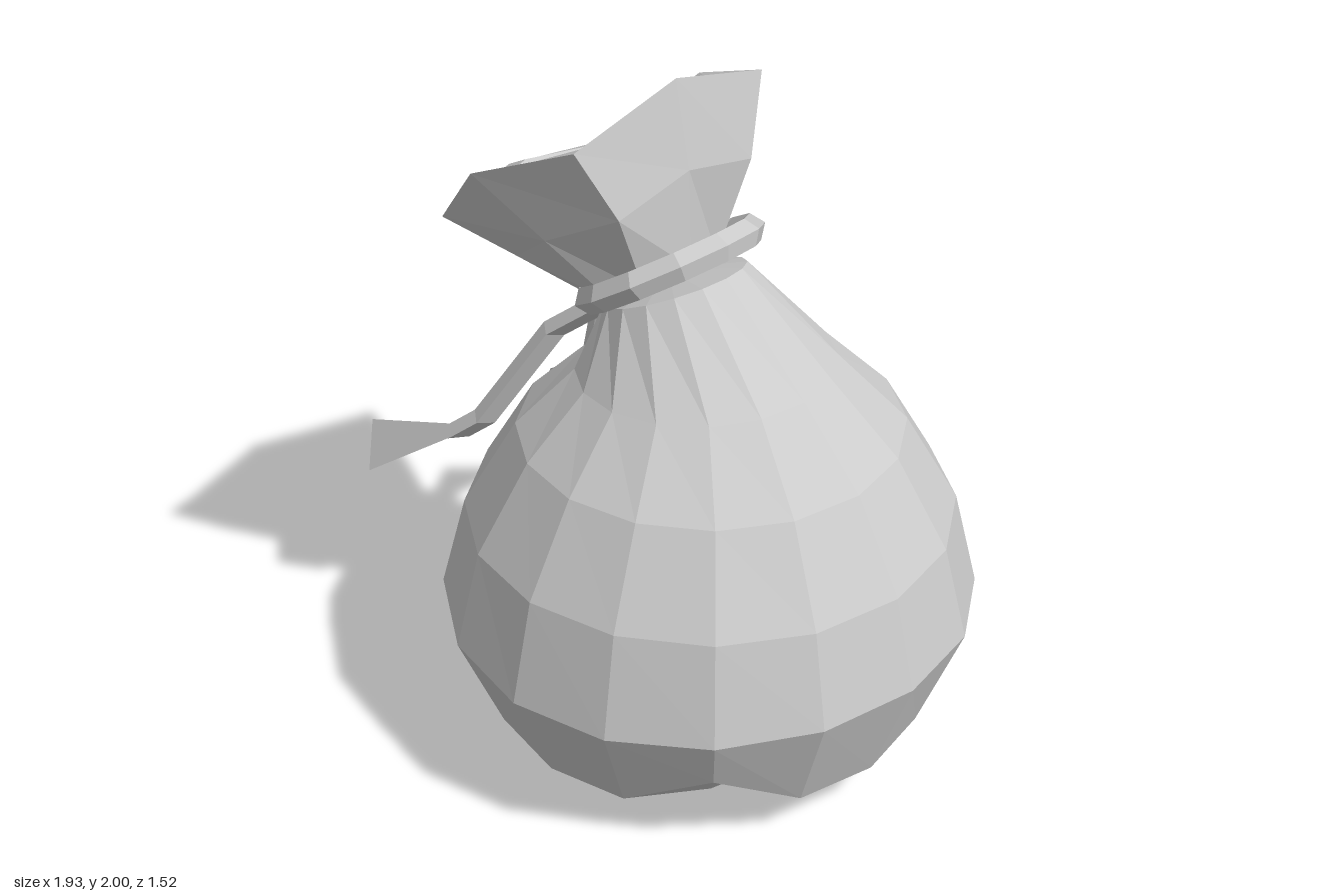
import * as THREE from 'three';

const material = new THREE.MeshStandardMaterial({ color: 0xcccccc, flatShading: true, side: THREE.DoubleSide });

// Skins a list of closed rings (each a list of [x, y, z]), all with the same point count
function loft(name, rings) {
  const n = rings[0].length, index = [];
  for (let i = 0; i < rings.length - 1; i++) {
    for (let j = 0; j < n; j++) {
      const k = (j + 1) % n;
      const a = i * n + j, b = i * n + k, c = b + n, d = a + n;
      index.push(a, d, c, a, c, b);
    }
  }
  const geometry = new THREE.BufferGeometry();
  geometry.setAttribute('position', new THREE.Float32BufferAttribute(rings.flat(2), 3));
  geometry.setIndex(index);
  geometry.computeVertexNormals();
  const mesh = new THREE.Mesh(geometry, material);
  mesh.name = name;
  return mesh;
}

const point = (p, n) => Array.from({ length: n }, () => p);

// Full 16-sided ring: centre x, height, radii, tilt (rise per +x)
function ring(cx, y, rx, rz, tilt = 0, corner = [0, 0], wave = 0) {
  return Array.from({ length: 16 }, (_, j) => {
    const t = (j / 16) * Math.PI * 2;
    const d = Math.sin(2 * t) ** 8; // 1 on the diagonals
    const c = Math.cos(t), s = Math.sin(t);
    return [cx + c * (rx + corner[0] * d), y + c * tilt + corner[1] * d + wave * Math.cos(2 * t), s * (rz + corner[0] * d)];
  });
}

// Completes five points (+x side round to -x side) into a mirrored 8-point ring
const mirrorRing = (half) => [...half, ...half.slice(1, 4).reverse().map(([x, y, z]) => [x, y, -z])];

function createSack() {
  return loft('sack', [
    point([0.2, 0, 0], 16),
    ring(0.2, 0.015, 0.33, 0.33, 0, [0.11, 0.05]),
    ring(0.2, 0.145, 0.63, 0.63, 0, [0.06, 0.155]),
    ring(0.2, 0.47, 0.76, 0.76, 0, [0, 0], 0.02),
    ring(0.2, 0.75, 0.69, 0.69, 0.01),
    ring(0.2, 1.01, 0.54, 0.54, 0.01),
    ring(0.18, 1.19, 0.36, 0.36, 0.03),
    ring(0.06, 1.39, 0.19, 0.2, 0.09),
    point([0.03, 1.42, 0], 16),
  ]);
}

// Flared cloth mouth: outside, folded rim, then the hollow inside
function createMouth() {
  const base = [[0.12, 1.46, 0], [0.08, 1.43, 0.14], [0, 1.38, 0.18], [-0.08, 1.33, 0.14], [-0.11, 1.31, 0]];
  const middle = [[0.11, 1.75, 0], [0.1, 1.69, 0.25], [-0.12, 1.57, 0.31], [-0.3, 1.43, 0.25], [-0.36, 1.43, 0]];
  const rim = [[0.06, 2, 0], [0.04, 1.9, 0.35], [-0.27, 1.76, 0.43], [-0.5, 1.51, 0.34], [-0.6, 1.51, 0]];
  const innerRim = [[0.02, 1.94, 0], [-0.02, 1.86, 0.25], [-0.27, 1.73, 0.33], [-0.45, 1.54, 0.27], [-0.53, 1.55, 0]];
  const innerMiddle = [[0.03, 1.7, 0], [-0.02, 1.67, 0.2], [-0.16, 1.58, 0.24], [-0.34, 1.49, 0.2], [-0.4, 1.49, 0]];
  const innerBase = [[-0.02, 1.51, 0], [-0.04, 1.5, 0.11], [-0.12, 1.48, 0.13], [-0.2, 1.46, 0.1], [-0.23, 1.45, 0]];
  return loft('mouth', [
    ...[base, middle, rim, innerRim, innerMiddle, innerBase].map(mirrorRing),
    point([-0.12, 1.44, 0], 8),
  ]);
}

// Cord wound round the neck, tilted with the lean of the mouth
function createTie() {
  const tie = new THREE.Mesh(new THREE.TorusGeometry(0.24, 0.042, 5, 12), material);
  tie.name = 'tie';
  tie.position.set(0.04, 1.44, 0);
  tie.quaternion.setFromUnitVectors(new THREE.Vector3(0, 0, 1), new THREE.Vector3(-0.56, 0.83, 0).normalize());
  return tie;
}

// Loose cord end: thin triangular strand that opens into a wide tip
function createCordEnd(name, path, tip) {
  const offsets = [[-0.03, 0.02, 0], [0.015, 0.01, 0.035], [0.015, -0.02, -0.035]];
  const side = Math.sign(path[3][2]);
  const rings = path.map((p) => offsets.map(([x, y, z]) => [p[0] + x, p[1] + y, p[2] + z * side]));
  const centre = [0, 1, 2].map((k) => (tip[0][k] + tip[1][k] + tip[2][k]) / 3);
  return loft(name, [...rings, tip, point(centre, 3)]);
}

export function createModel() {
  const group = new THREE.Group();
  group.name = 'tiedSack';
  group.add(
    createSack(),
    createMouth(),
    createTie(),
    createCordEnd('frontCordEnd',
      [[-0.12, 1.29, 0.06], [-0.31, 1.13, 0.12], [-0.45, 0.84, 0.27], [-0.53, 0.77, 0.3]],
      [[-0.97, 0.6, 0.26], [-0.81, 0.56, 0.41], [-0.87, 0.52, 0.16]]),
    createCordEnd('backCordEnd',
      [[-0.12, 1.29, -0.04], [-0.31, 1.13, -0.07], [-0.46, 0.85, -0.17], [-0.55, 0.75, -0.21]],
      [[-0.8, 0.6, -0.32], [-0.65, 0.6, -0.48], [-0.71, 0.54, -0.18]]),
  );
  return group;
}
